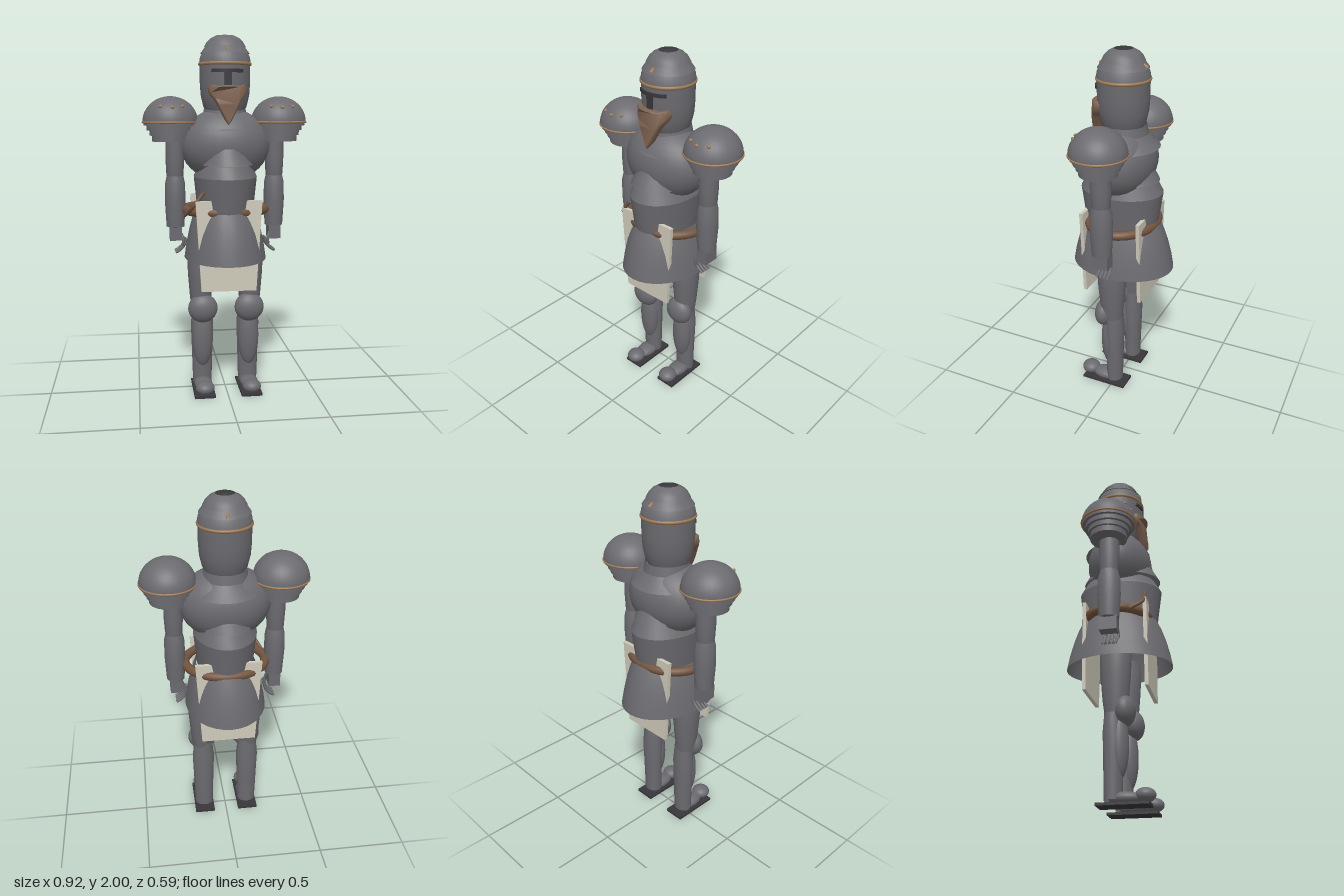
import * as THREE from 'three';
import { toCreasedNormals } from 'three/addons/utils/BufferGeometryUtils.js';

const mat = (name, color, side = THREE.FrontSide) => {
  const m = new THREE.MeshStandardMaterial({ color, side });
  m.name = name;
  return m;
};

export function createModel() {
  const steel = mat('steel', 0x6b6b70, THREE.DoubleSide);
  const brass = mat('brass', 0xa07a52);
  const leather = mat('leather', 0x73553f);
  const beardBrown = mat('beardBrown', 0x7d6250);
  const cloth = mat('cloth', 0xcfcaba);
  const dark = mat('dark', 0x38363a);
  const model = new THREE.Group();
  model.name = 'armouredKnight';

  const add = (parent, name, geo, material, x = 0, y = 0, z = 0) => {
    const mesh = new THREE.Mesh(geo, material);
    mesh.name = name;
    mesh.position.set(x, y, z);
    parent.add(mesh);
    return mesh;
  };
  // Turned plate: profile is [radius, y] from bottom to top, squashed in x and z
  const turned = (profile, sx = 1, sz = 1, segments = 32) => {
    const g = new THREE.LatheGeometry(profile.map(p => new THREE.Vector2(...p)), segments);
    g.scale(sx, 1, sz);
    return toCreasedNormals(g, 0.45);
  };
  const ball = (rx, ry, rz) => new THREE.SphereGeometry(1, 28, 18).scale(rx, ry, rz);
  const ring = (rx, rz, tube) => {
    const g = new THREE.TorusGeometry(rx, tube, 10, 40).rotateX(Math.PI / 2);
    return g.scale(1, 1, rz / rx);
  };
  const tube = (points, r, n = 16) => new THREE.TubeGeometry(
    new THREE.CatmullRomCurve3(points.map(p => new THREE.Vector3(...p))), n, r, 8);

  // Helmet
  const helmet = new THREE.Group();
  helmet.name = 'helmet';
  model.add(helmet);
  add(helmet, 'helmetShell', turned([[0.1, 1.58], [0.12, 1.62], [0.134, 1.68], [0.139, 1.75], [0.139, 1.86]]), steel);
  add(helmet, 'lowerTier', turned([[0.142, 1.855], [0.137, 1.885], [0.122, 1.912]]), steel);
  add(helmet, 'middleTier', turned([[0.135, 1.905], [0.12, 1.925], [0.1, 1.95]]), steel);
  add(helmet, 'topDome', turned([[0.114, 1.94], [0.1, 1.965], [0.08, 1.985], [0.05, 2.0]]), steel);
  add(helmet, 'innerCap', new THREE.CircleGeometry(0.1, 28).rotateX(-Math.PI / 2), steel, 0, 1.935);
  add(helmet, 'brim', ring(0.137, 0.137, 0.01), brass, 0, 1.848);
  add(helmet, 'crestStrap', tube([[0, 1.912, 0.134], [0, 1.93, 0.1], [0, 1.942, 0],
    [0, 1.93, -0.1], [0, 1.912, -0.134]], 0.01, 24), brass);

  // Visor slit, bent around the helmet
  const slit = new THREE.BoxGeometry(0.17, 0.018, 0.009, 12, 1, 1);
  const sp = slit.attributes.position;
  for (let i = 0; i < sp.count; i++) {
    const x = sp.getX(i);
    sp.setZ(i, sp.getZ(i) + Math.sqrt(0.143 ** 2 - x * x));
  }
  slit.computeVertexNormals();
  add(helmet, 'eyeSlit', slit, dark, 0, 1.808);
  add(helmet, 'noseSlit', new THREE.BoxGeometry(0.038, 0.09, 0.009), dark, 0, 1.76, 0.14);

  // Pointed beard plate, wrapped around the chin
  const bs = new THREE.Shape();
  bs.moveTo(0, -0.11);
  bs.bezierCurveTo(0.02, -0.08, 0.045, -0.02, 0.07, 0.02);
  bs.bezierCurveTo(0.1, 0.045, 0.1, 0.08, 0.085, 0.085);
  bs.bezierCurveTo(0.05, 0.07, 0.03, 0.085, 0, 0.08);
  bs.bezierCurveTo(-0.03, 0.085, -0.05, 0.07, -0.085, 0.085);
  bs.bezierCurveTo(-0.1, 0.08, -0.1, 0.045, -0.07, 0.02);
  bs.bezierCurveTo(-0.045, -0.02, -0.02, -0.08, 0, -0.11);
  const beard = new THREE.ExtrudeGeometry(bs, {
    depth: 0.025, bevelSize: 0.008, bevelThickness: 0.012, bevelSegments: 3, curveSegments: 8 });
  const bp = beard.attributes.position;
  for (let i = 0; i < bp.count; i++) {
    const x = bp.getX(i), y = bp.getY(i);
    bp.setZ(i, bp.getZ(i) + 0.137 - 4.5 * x * x - 1.2 * Math.max(0, y - 0.03) ** 2);
  }
  add(helmet, 'beard', toCreasedNormals(beard, 0.8), beardBrown, 0, 1.643);

  // Torso plates
  add(model, 'gorget', turned([[0.19, 1.49], [0.15, 1.53], [0.125, 1.56], [0.115, 1.61]]), steel, 0, 0, -0.01);
  add(model, 'breastplate', ball(0.25, 0.205, 0.185), steel, 0, 1.41, 0.005);
  add(model, 'ribFlare', turned([[0.222, 1.305], [0.2, 1.345], [0.165, 1.41]], 0.72), steel, 0, 0, 0.016);
  add(model, 'waistPlate', turned([[0.207, 1.03], [0.212, 1.06], [0.236, 1.235], [0.2, 1.3], [0.15, 1.33]], 0.745), steel, 0, 0, 0.008);
  add(model, 'skirt', turned([[0.297, 0.775], [0.283, 0.85], [0.262, 0.93], [0.238, 1.0], [0.215, 1.05]], 0.775), steel);
  add(model, 'belt', ring(0.225, 0.19, 0.026), leather, 0, 1.05, -0.002);
  add(model, 'strap', tube([[-0.235, 1.03, 0.1], [-0.19, 1.09, 0.165], [-0.135, 1.165, 0.17]], 0.011), leather);

  // Front and back cloth panels, slightly narrower at the hem
  const panel = new THREE.Shape([[-0.152, 0.617], [0.152, 0.617], [0.182, 1.118], [-0.182, 1.118]]
    .map(p => new THREE.Vector2(...p)));
  for (const [name, z] of [['frontPanel', 0.165], ['backPanel', -0.173]]) {
    add(model, name, new THREE.ExtrudeGeometry(panel, { depth: 0.02, bevelEnabled: false }), cloth, 0, 0, z);
  }

  for (const [side, s] of [['left', 1], ['right', -1]]) {
    // Shoulder guard: dome, brass rim, stepped rings and studs
    const shoulder = new THREE.Group();
    shoulder.name = side + 'ShoulderGuard';
    shoulder.position.set(s * 0.302, 1.535, 0);
    model.add(shoulder);
    const dome = new THREE.SphereGeometry(0.153, 32, 12, 0, Math.PI * 2, 0, Math.PI / 2).scale(1, 0.92, 1);
    add(shoulder, 'dome', dome, steel);
    add(shoulder, 'rim', ring(0.151, 0.151, 0.006), brass);
    [[0.146, -0.008, 0.02], [0.13, -0.03, 0.03], [0.115, -0.055, 0.035], [0.102, -0.085, 0.04]].forEach(([r, y, h]) =>
      add(shoulder, 'steppedRing', new THREE.CylinderGeometry(r, r, h, 32), steel, 0, y, 0));
    for (const [x, z] of [[-0.06, 0.106], [-0.005, 0.126], [0.057, 0.108]]) {
      const y = 0.92 * Math.sqrt(0.153 ** 2 - x * x - z * z);
      add(shoulder, 'stud', new THREE.SphereGeometry(0.01, 12, 8), brass, s * x, y, z);
    }

    // Arm and gauntlet
    const arm = new THREE.Group();
    arm.name = side + 'Arm';
    model.add(arm);
    const ax = s * 0.28;
    add(arm, 'upperArm', turned([[0.04, 1.2], [0.048, 1.25], [0.052, 1.34], [0.05, 1.46]], 1, 1.1), steel, ax);
    add(arm, 'forearm', turned([[0.03, 0.95], [0.05, 0.955], [0.052, 0.99], [0.058, 1.1], [0.055, 1.2],
      [0.045, 1.245], [0.035, 1.25]], 1, 1.1), steel, ax);
    add(arm, 'hand', new THREE.BoxGeometry(0.066, 0.08, 0.095), steel, ax, 0.92, 0);
    for (let i = 0; i < 4; i++) {
      const z = 0.032 - i * 0.021;
      add(arm, 'finger', tube([[s * 0.295, 0.885, z], [s * 0.285, 0.85, z], [s * 0.262, 0.825, z],
        [s * 0.238, 0.81, z]].map(([x, y, w]) => [s * 0.52 - x, y, w]), 0.008, 10), steel);
    }
    add(arm, 'thumb', tube([[s * 0.25, 0.92, 0.035], [s * 0.24, 0.88, 0.045], [s * 0.243, 0.85, 0.04]], 0.008, 8), steel);

    // Leg and foot
    const leg = new THREE.Group();
    leg.name = side + 'Leg';
    model.add(leg);
    const lx = s * 0.133;
    add(leg, 'thigh', turned([[0.052, 0.47], [0.062, 0.55], [0.072, 0.68], [0.077, 0.8], [0.07, 0.86]], 1, 1.12), steel, lx + s * 0.008, 0, 0.008);
    add(leg, 'knee', ball(0.084, 0.083, 0.056), steel, lx, 0.488, 0.055);
    add(leg, 'shin', turned([[0.05, 0.03], [0.052, 0.1], [0.056, 0.25], [0.06, 0.38], [0.05, 0.5]], 1.08, 0.92), steel, lx, 0, -0.005);
    add(leg, 'greave', ball(0.06, 0.18, 0.05), steel, lx, 0.31, 0.025);
    add(leg, 'footTop', ball(0.052, 0.033, 0.085), steel, lx, 0.04, 0.055);
    add(leg, 'toeCap', ball(0.053, 0.037, 0.053), steel, lx, 0.053, 0.157);
    add(leg, 'sole', new THREE.BoxGeometry(0.118, 0.014, 0.27), dark, lx, 0.007, 0.05);
  }
  return model;
}
